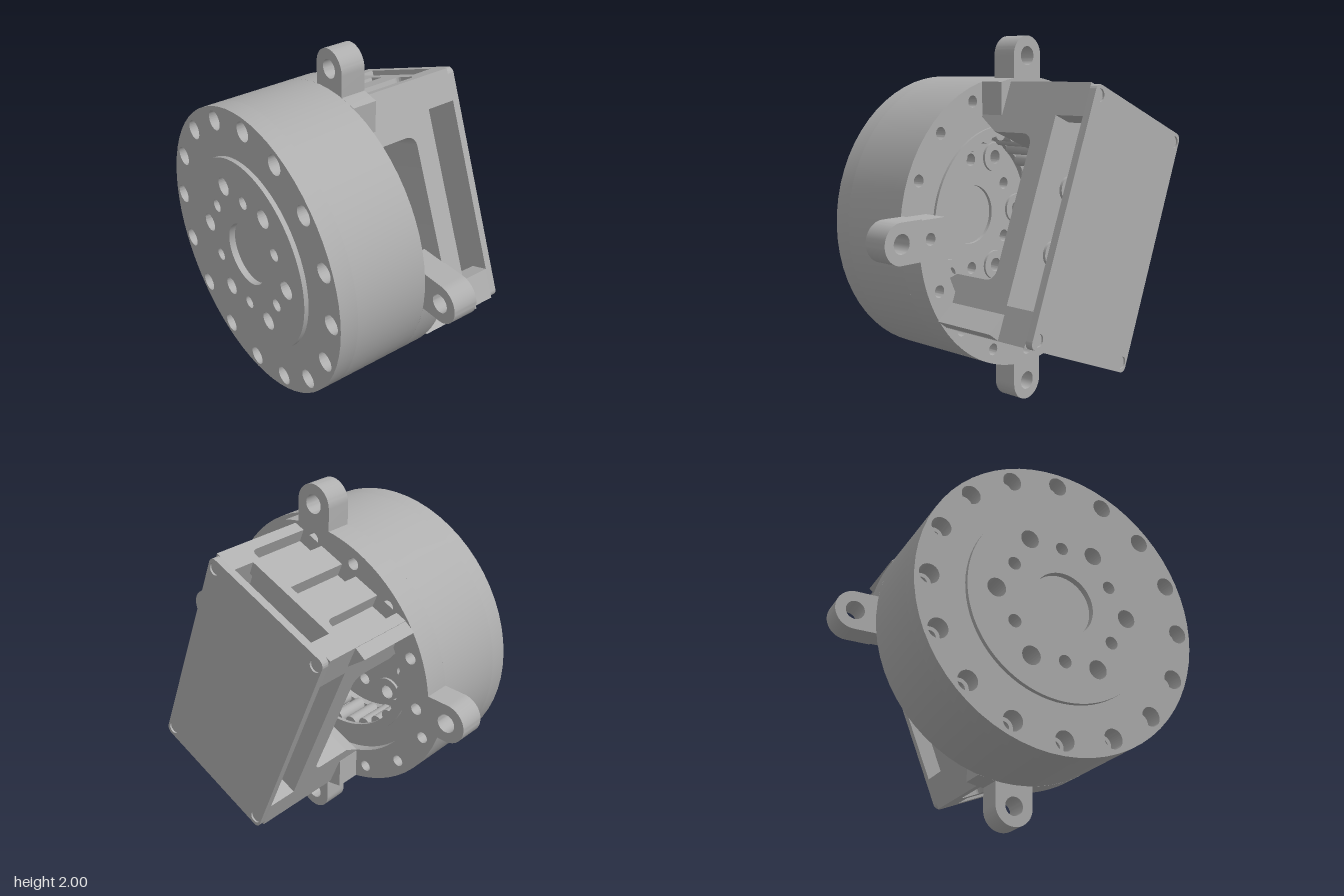
import * as THREE from 'three';
import { toCreasedNormals } from 'three/addons/utils/BufferGeometryUtils.js';

const metal = new THREE.MeshStandardMaterial({ color: 0xb0b0b0 });
metal.name = 'grey metal';

const circle = (r, x = 0, y = 0) => new THREE.Path().absarc(x, y, r, 0, Math.PI * 2);

function ringShape(outer, inner) {
  const s = new THREE.Shape().absarc(0, 0, outer, 0, Math.PI * 2);
  if (inner) s.holes.push(circle(inner));
  return s;
}

// Adds count round holes on a bolt circle, between two angles in degrees
function boltHoles(shape, count, radius, r, offset = 0) {
  for (let i = 0; i < count; i++) {
    const a = (i * 2 * Math.PI) / count + offset;
    shape.holes.push(circle(r, radius * Math.cos(a), radius * Math.sin(a)));
  }
  return shape;
}

function extrude(shape, from, to, segments = 18) {
  const g = new THREE.ExtrudeGeometry(shape, { depth: to - from, bevelEnabled: false, curveSegments: segments });
  return g.translate(0, 0, from);
}

function roundedRect(w, h, r) {
  const s = new THREE.Shape();
  s.absarc(w - r, h - r, r, 0, Math.PI / 2);
  s.absarc(-w + r, h - r, r, Math.PI / 2, Math.PI);
  s.absarc(-w + r, -h + r, r, Math.PI, Math.PI * 1.5);
  s.absarc(w - r, -h + r, r, Math.PI * 1.5, Math.PI * 2);
  return s;
}

function rectPath(x0, y0, x1, y1) {
  return new THREE.Path([[x0, y0], [x1, y0], [x1, y1], [x0, y1]].map(p => new THREE.Vector2(...p)));
}

function add(parent, name, geometry, crease = 0.5) {
  const m = new THREE.Mesh(toCreasedNormals(geometry, crease), metal);
  m.name = name;
  parent.add(m);
  return m;
}

export function createModel() {
  const root = new THREE.Group();
  root.name = 'gearMotor';
  // The output axis is local z, turned to lie along world x
  const axis = new THREE.Group();
  axis.name = 'axisAssembly';
  axis.rotation.y = Math.PI / 2;
  axis.position.y = 1;
  root.add(axis);

  // Drum housing with its bolt circle
  add(axis, 'drumBack', extrude(boltHoles(ringShape(0.785, 0.5), 16, 0.71, 0.052), -0.6, -0.5, 32));
  add(axis, 'drumBody', extrude(boltHoles(ringShape(0.785, 0.61), 16, 0.71, 0.032), -0.5, -0.09, 32));
  add(axis, 'bearingSeat', extrude(ringShape(0.612, 0.5), -0.5, -0.14, 48));

  // Raised flange on two opposite quadrants
  for (const turn of [0, Math.PI]) {
    const [R, r] = [0.785, 0.62];
    const ang = (rad, a) => (a ? Math.PI - Math.acos(0.2 / rad) : -Math.asin(0.1 / rad));
    const s = new THREE.Shape();
    s.absarc(0, 0, R, ang(R, 0), ang(R, 1), false);
    s.absarc(0, 0, r, ang(r, 1), ang(r, 0), true);
    for (let i = 0; i <= 4; i++) {
      const a = (i * Math.PI) / 8;
      s.holes.push(circle(0.032, 0.71 * Math.cos(a), 0.71 * Math.sin(a)));
    }
    add(axis, 'raisedFlange', extrude(s, -0.09, 0.05)).rotation.z = turn;
  }

  // Four mounting ears
  for (let i = 0; i < 4; i++) {
    const s = new THREE.Shape();
    s.moveTo(-0.105, 0.765);
    s.lineTo(0.105, 0.765);
    s.absarc(0, 0.895, 0.105, 0, Math.PI);
    s.closePath();
    s.holes.push(circle(0.05, 0, 0.895));
    add(axis, 'mountingEar', extrude(s, -0.09, 0.05)).rotation.z = (i * Math.PI) / 2;
  }

  // Output hub
  const hub = ringShape(0.525, 0.17);
  boltHoles(hub, 6, 0.37, 0.05);
  boltHoles(hub, 6, 0.315, 0.035, Math.PI / 6);
  add(axis, 'outputHub', extrude(hub, -0.625, -0.38, 40));
  add(axis, 'hubPlug', extrude(ringShape(0.172), -0.59, -0.4, 32));
  for (let i = 0; i < 6; i++) {
    const a = (i * Math.PI) / 3;
    const g = extrude(ringShape(0.085, 0.04), -0.38, -0.365, 20);
    add(axis, 'hubWasher', g.translate(0.37 * Math.cos(a), 0.37 * Math.sin(a), 0));
  }

  // Roller bearing
  add(axis, 'bearingLip', extrude(ringShape(0.52, 0.465), -0.15, -0.125, 48));
  add(axis, 'bearingBaseRing', extrude(ringShape(0.52, 0.455), -0.38, -0.34, 48));
  for (let i = 0; i < 28; i++) {
    const a = (i * Math.PI) / 14;
    const g = new THREE.CylinderGeometry(0.04, 0.04, 0.2, 14).rotateX(Math.PI / 2);
    add(axis, 'roller', g.translate(0.475 * Math.cos(a), 0.475 * Math.sin(a), -0.245));
  }

  // Tilted motor bracket: local x across, y along, z outwards
  const box = new THREE.Group();
  box.name = 'motorBracket';
  box.rotation.z = THREE.MathUtils.degToRad(-21.7);
  axis.add(box);

  // Side profile with a rounded arch between the two posts
  const frame = new THREE.Shape();
  frame.moveTo(-0.09, 0.585);
  frame.lineTo(-0.09, 0.46);
  frame.lineTo(0.03, 0.382);
  frame.lineTo(0.23, 0.382);
  frame.absarc(0.23, 0.322, 0.06, Math.PI / 2, 0, true);
  frame.lineTo(0.29, -0.322);
  frame.absarc(0.23, -0.322, 0.06, 0, -Math.PI / 2, true);
  frame.lineTo(0.03, -0.382);
  frame.lineTo(-0.09, -0.46);
  frame.lineTo(-0.09, -0.585);
  frame.lineTo(0.41, -0.585);
  frame.lineTo(0.41, 0.585);
  add(box, 'archFrame', extrude(frame, -0.4, 0.4).rotateY(-Math.PI / 2));

  // End walls with cooling grooves and a window
  for (const turn of [0, Math.PI]) {
    const end = new THREE.Group();
    end.name = 'endWall';
    end.rotation.z = turn;
    box.add(end);

    const wall = new THREE.Shape([[-0.4, -0.09], [0.4, -0.09], [0.4, 0.58], [-0.4, 0.58]].map(p => new THREE.Vector2(...p)));
    for (const s of [-0.27, 0.27]) {
      const slot = new THREE.Path();
      slot.moveTo(s - 0.068, 0.05);
      slot.lineTo(s + 0.068, 0.05);
      slot.absarc(s + 0.038, 0.38, 0.03, 0, Math.PI / 2);
      slot.absarc(s - 0.038, 0.38, 0.03, Math.PI / 2, Math.PI);
      slot.closePath();
      wall.holes.push(slot);
    }
    wall.holes.push(rectPath(-0.05, 0.05, 0.05, 0.41));
    wall.holes.push(rectPath(-0.27, 0.46, 0.27, 0.58 - 0.002));
    add(end, 'groovedWall', extrude(wall, 0, 0.075).rotateX(Math.PI / 2).translate(0, 0.66, 0));

    // Corner pillars carrying the cover
    for (const s of [-1, 1]) {
      const g = new THREE.BoxGeometry(0.11, 0.1, 0.17);
      add(end, 'cornerPillar', g.translate(s * 0.345, 0.535, 0.495));
    }

    // Pointed fin on one corner
    const fin = new THREE.Shape([[0.39, 0.66], [0.4, 0.53], [0.467, 0.64]].map(p => new THREE.Vector2(...p)));
    add(end, 'cornerFin', extrude(fin, 0.05, 0.41));
  }

  // Screw heads behind the cover
  for (const x of [-0.17, 0.17]) for (const y of [-0.17, 0.17])
    add(box, 'innerScrew', extrude(ringShape(0.065, 0.03), 0.41, 0.425, 20).translate(x, y, 0));

  // Cover plate with screws sunk in its corners
  const cover = roundedRect(0.4, 0.66, 0.035);
  for (const x of [-0.358, 0.358]) for (const y of [-0.609, 0.609]) {
    cover.holes.push(circle(0.032, x, y));
    add(box, 'coverScrew', extrude(ringShape(0.032), 0.585, 0.61, 16).translate(x, y, 0));
  }
  add(box, 'coverPlate', extrude(cover, 0.58, 0.62));

  return root;
}
